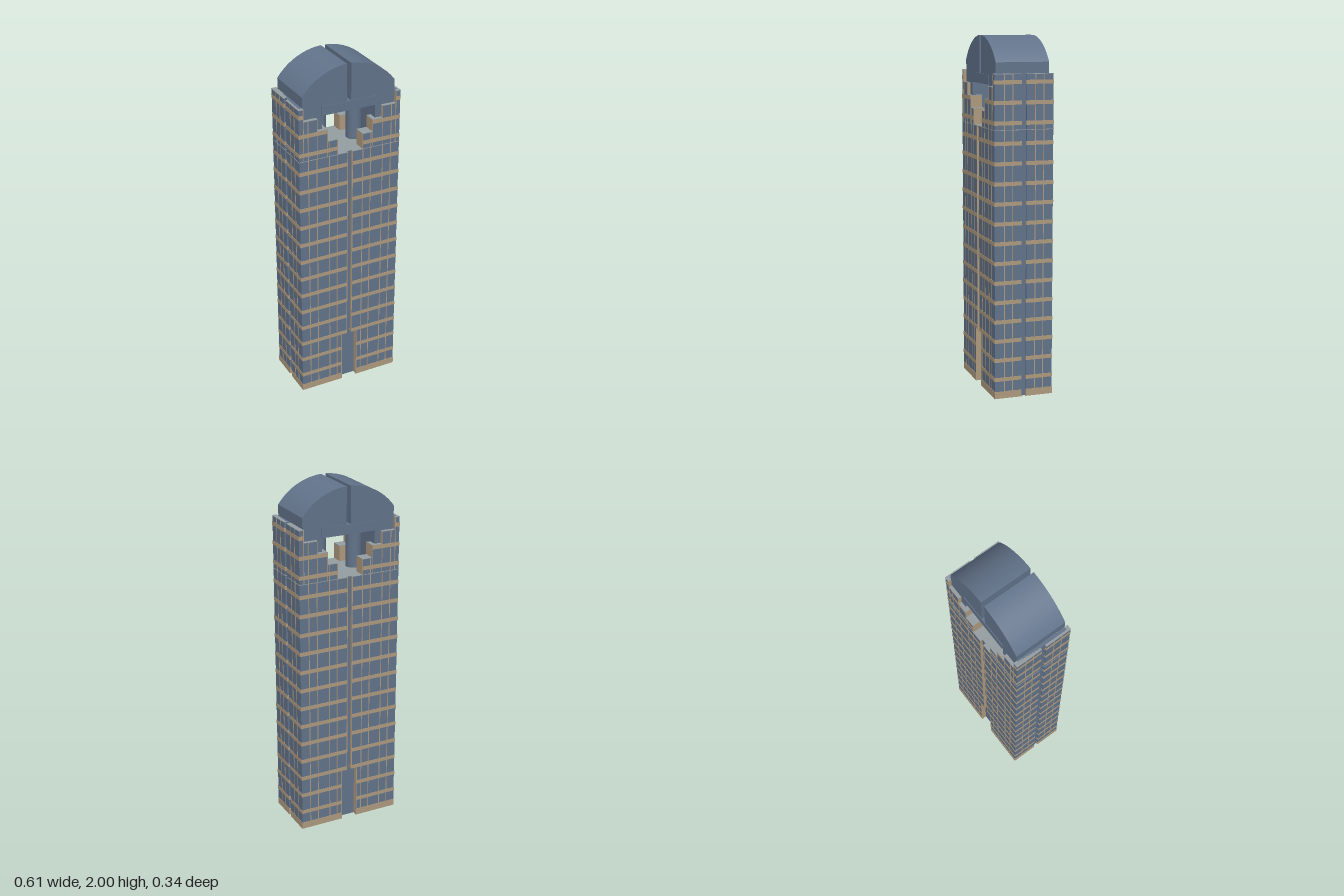
import * as THREE from 'three';

const material = (name, color) => {
  const m = new THREE.MeshStandardMaterial({ color });
  m.name = name;
  return m;
};

export function createModel() {
  const model = new THREE.Group();
  model.name = 'tower';
  const glass = material('blue glass', 0x62738a);
  const stone = material('tan stone', 0xae9a7e);
  const roof = material('grey roof', 0x949da1);

  // Box given by its limits on each axis
  const box = (name, mat, x0, x1, y0, y1, z0, z1) => {
    const mesh = new THREE.Mesh(new THREE.BoxGeometry(Math.abs(x1 - x0), y1 - y0, Math.abs(z1 - z0)), mat);
    mesh.position.set((x0 + x1) / 2, (y0 + y1) / 2, (z0 + z1) / 2);
    mesh.name = name;
    model.add(mesh);
  };
  // The same box mirrored into all four quarters of the plan
  const quarters = (name, mat, x0, x1, y0, y1, z0, z1) => {
    for (const sx of [-1, 1]) for (const sz of [-1, 1])
      box(name, mat, sx * x0, sx * x1, y0, y1, sz * z0, sz * z1);
  };

  const W = 0.305, D = 0.17, gap = 0.013, door = 0.047;
  const doorTop = 0.34, deck = 1.5, top = 1.8, inset = 0.002, floor = 0.1097;

  // Core seen at the bottom of the grooves and in the entrance recesses
  box('entranceCore', glass, -0.293, 0.293, 0.001, doorTop, -0.14, 0.14);
  box('core', glass, -0.293, 0.293, doorTop, deck - 0.003, -0.155, 0.155);

  // Glass bodies of the four corner blocks
  quarters('lowerGlass', glass, door + inset, W - inset, 0.04, doorTop, gap + inset, D - inset);
  quarters('upperGlass', glass, gap + inset, W - inset, doorTop, deck - 0.003, gap + inset, D - inset);
  quarters('plinth', stone, door, W, 0, 0.04, gap, D);
  quarters('deck', roof, gap, W, deck - 0.003, deck, gap, D);
  box('deckCentre', roof, -0.293, 0.293, deck - 0.003, deck, -0.155, 0.155);

  // Stone edges of the grooves and entrances
  quarters('grooveEdge', stone, gap, gap + 0.004, doorTop, deck - 0.003, 0.15, D);
  quarters('entranceEdge', stone, door, door + 0.004, 0.04, doorTop, 0.13, D);

  // Floor bands on the shaft
  for (let i = 1; i <= 13; i++) {
    const y = i * floor;
    quarters('floorBand', stone, y < 0.3 ? door : gap, W, y - 0.011, y + 0.011, gap, D);
  }

  // Mullions
  const mull = 0.0025;
  for (const x of [0.078, 0.126, 0.2, 0.25])
    quarters('frontMullion', stone, x - mull, x + mull, 0.04, deck - 0.003, 0.16, D - 0.0005);
  for (const z of [0.065, 0.113])
    quarters('sideMullion', stone, 0.297, W - 0.0005, 0.04, top - 0.003, z - mull, z + mull);

  // Tall side walls beside the crown
  box('wingCoreLeft', glass, 0.275, 0.293, deck, top, -0.15, 0.15);
  box('wingCoreRight', glass, -0.293, -0.275, deck, top, -0.15, 0.15);
  quarters('wing', glass, 0.276, W - inset, deck, top - 0.003, gap + inset, D - inset);
  quarters('wingRoof', roof, 0.275, W, top - 0.003, top, gap, D);
  quarters('wingEdge', stone, 0.275, 0.279, deck, top - 0.003, 0.152, D);
  for (let i = 14; i <= 16; i++)
    quarters('wingBand', stone, 0.276, W, i * floor - 0.011, i * floor + 0.011, gap, D);

  // Stepped blocks rising toward the side walls
  const steps = [[0.075, 0.135, 1.59], [0.135, 0.195, 1.66], [0.195, 0.275, 1.73]];
  for (const [x0, x1, h] of steps) {
    quarters('stepBlock', stone, x0, x1, deck, h - 0.003, 0.1, D - 0.004);
    quarters('stepGlass', glass, x0 + 0.003, x1, deck, h - 0.003, 0.16, D - inset);
    quarters('stepEdge', stone, x0, x0 + 0.003, deck, h - 0.003, 0.16, D);
    quarters('stepRoof', roof, x0, x1, h - 0.003, h, 0.1, D);
    for (let i = 14; i * floor + 0.011 < h; i++)
      quarters('stepBand', stone, x0, x1, i * floor - 0.011, i * floor + 0.011, 0.15, D);
  }
  for (const x of [0.126, 0.25])
    quarters('stepMullion', stone, x - mull, x + mull, deck, x < 0.2 ? 1.585 : 1.725, 0.16, D - 0.0005);

  // Legs, round columns and beam carrying the vault
  for (const s of [-1, 1]) {
    box('vaultLeg', glass, s * 0.16, s * 0.275, deck, 1.74, -0.15, 0.15);
    const column = new THREE.Mesh(new THREE.CylinderGeometry(0.045, 0.045, 0.24, 32), glass);
    column.position.set(s * 0.11, 1.62, 0);
    column.name = 'column';
    model.add(column);
  }
  box('vaultBeam', glass, -0.162, 0.162, 1.737, 1.79, -0.156, 0.156);

  // Two halves of the vaulted roof, parted by a slit
  const R = 0.34, cy = 1.66;
  const angle = (x) => Math.acos(x / R);
  for (const s of [-1, 1]) {
    const shape = new THREE.Shape();
    shape.moveTo(s * gap, 1.735);
    shape.lineTo(s * 0.275, 1.735);
    const a0 = angle(s * 0.275), a1 = angle(s * gap);
    shape.absarc(0, cy, R, a0, a1, s < 0);
    shape.closePath();
    const geo = new THREE.ExtrudeGeometry(shape, { depth: 0.304, bevelEnabled: false, curveSegments: 24 });
    geo.translate(0, 0, -0.152);
    const half = new THREE.Mesh(geo, glass);
    half.name = 'vaultHalf';
    model.add(half);
  }
  return model;
}
